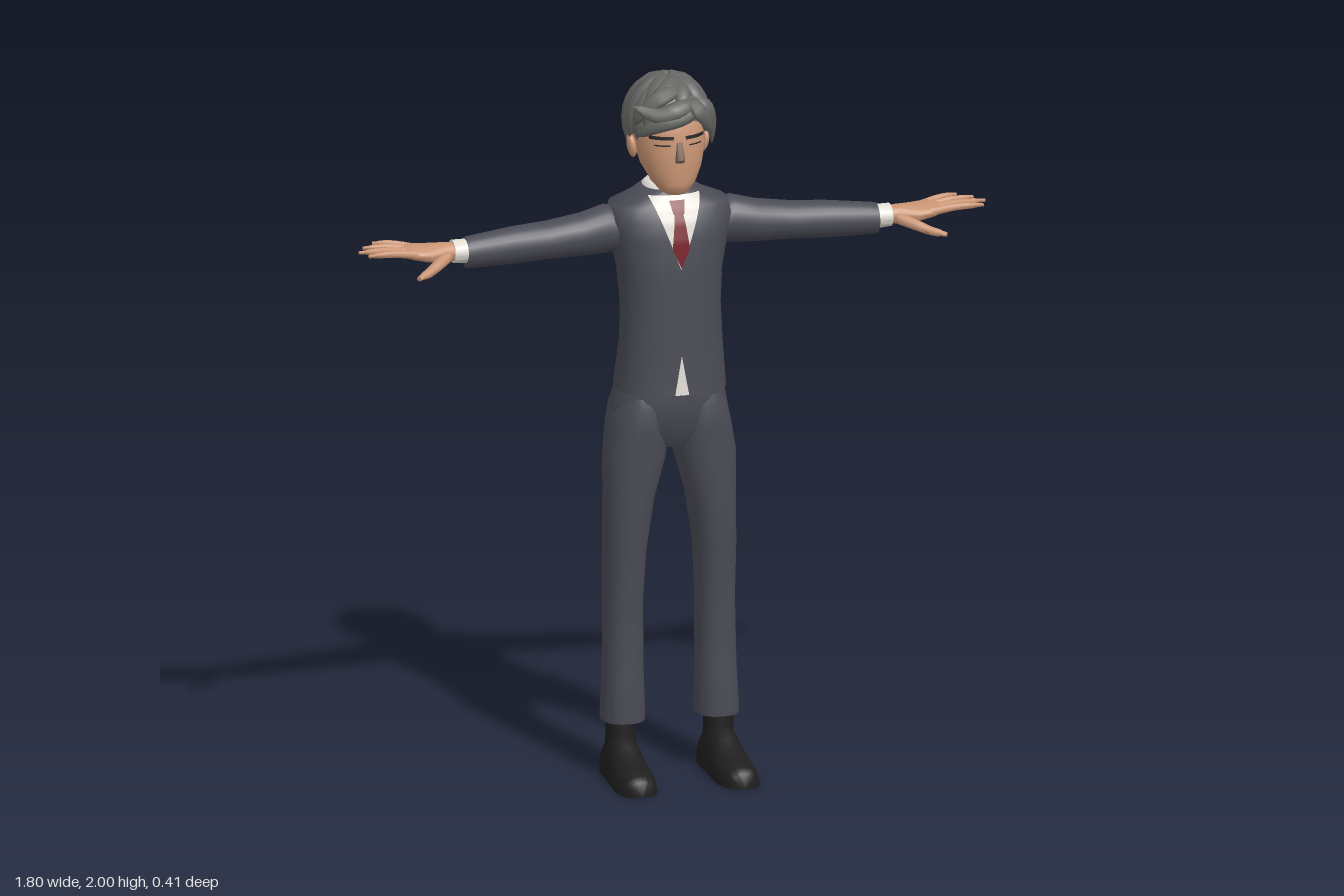
import * as THREE from 'three';
import { toCreasedNormals } from 'three/addons/utils/BufferGeometryUtils.js';

const V = (x, y, z) => new THREE.Vector3(x, y, z);
const paint = (name, color, side = THREE.FrontSide) => {
  const m = new THREE.MeshStandardMaterial({ color, side });
  m.name = name;
  return m;
};

// Closed skin over rings {c: centre, u, v: half axes, p: squareness}; u x v points along the run.
function loft(rings, n = 24, crease = 0.95) {
  const pos = [], idx = [];
  const pw = (t, p) => Math.sign(t) * Math.pow(Math.abs(t), 2 / p);
  for (const { c, u, v, p = 2 } of rings)
    for (let j = 0; j < n; j++) {
      const a = (j / n) * Math.PI * 2;
      const q = c.clone().addScaledVector(u, pw(Math.cos(a), p)).addScaledVector(v, pw(Math.sin(a), p));
      pos.push(q.x, Math.max(q.y, 0), q.z);
    }
  const last = rings.length - 1;
  for (let i = 0; i < last; i++)
    for (let j = 0; j < n; j++) {
      const a = i * n + j, b = i * n + ((j + 1) % n);
      idx.push(a, b, b + n, a, b + n, a + n);
    }
  const s = rings.length * n;
  pos.push(...rings[0].c.toArray(), ...rings[last].c.toArray());
  for (let j = 0; j < n; j++) {
    const k = (j + 1) % n;
    idx.push(s, k, j, s + 1, last * n + j, last * n + k);
  }
  const g = new THREE.BufferGeometry();
  g.setAttribute('position', new THREE.Float32BufferAttribute(pos, 3));
  g.setIndex(idx);
  return toCreasedNormals(g, crease);
}

// Rows: [y, centre x, centre z, half width, half depth]
const upright = (rows, p = 2.3) => loft(rows.map(([y, x, z, a, b]) => ({ c: V(x, y, z), u: V(a, 0, 0), v: V(0, 0, -b), p })));
// Rows: [x, centre y, centre z, half height, half depth]
const sideways = (rows, p = 2) => loft(rows.map(([x, y, z, a, b]) => ({ c: V(x, y, z), u: V(0, a, 0), v: V(0, 0, b), p })));

// Tapering strand along points; "out" gives the thickness direction at a point.
function strand(points, width, thick, profile, out, n = 8) {
  const curve = new THREE.CatmullRomCurve3(points), rings = [], steps = 10;
  for (let i = 0; i <= steps; i++) {
    const t = i / steps, c = curve.getPoint(t), d = curve.getTangent(t), k = profile(t);
    const u = out(c);
    u.addScaledVector(d, -u.dot(d)).normalize();
    const v = d.clone().cross(u);
    rings.push({ c, u: u.multiplyScalar(thick * k), v: v.multiplyScalar(width * k) });
  }
  return loft(rings, n, 1.3);
}

// Thin patch lying on the front of an upright body; outline rows are [y, x from, x to].
function patch(body, outline, lift, p) {
  const lerp = (rows, y) => {
    let i = 0;
    while (i < rows.length - 2 && y > rows[i + 1][0]) i++;
    const t = (y - rows[i][0]) / (rows[i + 1][0] - rows[i][0]);
    return rows[i].map((s, k) => s + (rows[i + 1][k] - s) * t);
  };
  const g = new THREE.PlaneGeometry(1, 1, 10, 24), a = g.attributes.position;
  const y0 = outline[0][0], y1 = outline[outline.length - 1][0];
  for (let i = 0; i < a.count; i++) {
    const y = y0 + (a.getY(i) + 0.5) * (y1 - y0);
    const [, from, to] = lerp(outline, y), x = from + (a.getX(i) + 0.5) * (to - from);
    const [, , cz, hw, hd] = lerp(body, y);
    a.setXYZ(i, x, y, cz + hd * Math.pow(Math.max(0, 1 - Math.pow(Math.abs(x / hw), p)), 1 / p) + lift);
  }
  g.computeVertexNormals();
  return g;
}

function mirrored(geo) {
  const g = geo.index ? geo.toNonIndexed() : geo.clone();
  g.scale(-1, 1, 1);
  for (const a of Object.values(g.attributes))
    for (let i = 0; i < a.count; i += 3)
      for (let k = 0; k < a.itemSize; k++) {
        const s = a.getComponent(i + 1, k);
        a.setComponent(i + 1, k, a.getComponent(i + 2, k));
        a.setComponent(i + 2, k, s);
      }
  return g;
}

export function createModel() {
  const model = new THREE.Group();
  model.name = 'suitedMan';
  const suit = paint('suit cloth', 0x4a4b55), skin = paint('skin', 0xcb9675);
  const hair = paint('hair', 0x666664, THREE.DoubleSide), shoe = paint('shoe leather', 0x1e1e1f);
  const shirt = paint('shirt', 0xe2ded6, THREE.DoubleSide), red = paint('tie', 0x7c2029, THREE.DoubleSide);
  const dark = paint('brow', 0x2b2828, THREE.DoubleSide), noseTone = paint('nose', 0x80655a);

  const add = (name, geo, mat) => {
    const m = new THREE.Mesh(geo, mat);
    m.name = name;
    model.add(m);
  };
  const pair = (name, geo, mat) => {
    add('left' + name, geo, mat);
    add('right' + name, mirrored(geo), mat);
  };

  // Jacket, shirt front and tie
  const torso = [
    [1.11, 0, -0.042, 0.155, 0.122], [1.14, 0, -0.04, 0.152, 0.118], [1.25, 0, -0.03, 0.142, 0.105],
    [1.35, 0, -0.035, 0.138, 0.108], [1.45, 0, -0.045, 0.145, 0.116], [1.55, 0, -0.052, 0.165, 0.117],
    [1.6, 0, -0.056, 0.178, 0.11], [1.638, 0, -0.06, 0.165, 0.096], [1.662, 0, -0.062, 0.105, 0.08],
    [1.682, 0, -0.062, 0.075, 0.068]];
  add('jacket', upright(torso, 2.5), suit);
  add('shirtFront', patch(torso, [[1.47, 0, 0], [1.67, -0.074, 0.074]], 0.004, 2.5), shirt);
  add('shirtTail', patch(torso, [[1.112, -0.02, 0.02], [1.225, 0, 0]], 0.004, 2.5), shirt);
  add('tie', patch(torso, [[1.475, 0, 0], [1.53, -0.025, 0.025], [1.62, -0.013, 0.013],
    [1.628, -0.017, 0.017], [1.658, -0.022, 0.022]], 0.008, 2.5), red);
  add('collar', upright([[1.65, 0, -0.062, 0.076, 0.072], [1.685, 0, -0.064, 0.07, 0.068], [1.694, 0, -0.066, 0.058, 0.06]]), shirt);

  // Trousers
  add('hips', upright([
    [0.945, 0, -0.045, 0.08, 0.06], [0.985, 0, -0.055, 0.165, 0.095], [1.05, 0, -0.058, 0.165, 0.113],
    [1.1, 0, -0.054, 0.155, 0.112], [1.13, 0, -0.045, 0.142, 0.1]], 2.4), suit);
  pair('TrouserLeg', upright([
    [0.16, 0.135, -0.043, 0.06, 0.067], [0.175, 0.135, -0.043, 0.061, 0.068], [0.3, 0.133, -0.046, 0.056, 0.066],
    [0.5, 0.132, -0.052, 0.054, 0.07], [0.65, 0.129, -0.046, 0.058, 0.08], [0.8, 0.117, -0.045, 0.069, 0.087],
    [0.92, 0.1, -0.047, 0.086, 0.093], [1, 0.09, -0.058, 0.084, 0.108], [1.06, 0.085, -0.06, 0.076, 0.112],
    [1.1, 0.08, -0.055, 0.06, 0.095]]), suit);

  // Socks and shoes
  pair('Sock', upright([[0.08, 0.14, -0.043, 0.042, 0.045], [0.18, 0.14, -0.043, 0.04, 0.042]]), shoe);
  pair('Shoe', loft([
    [-0.106, 0.035, 0.06], [-0.095, 0.047, 0.095], [-0.06, 0.052, 0.122], [0, 0.053, 0.122], [0.04, 0.055, 0.1],
    [0.08, 0.058, 0.078], [0.13, 0.058, 0.064], [0.17, 0.05, 0.054], [0.19, 0.036, 0.042], [0.199, 0.016, 0.025],
  ].map(([z, w, h]) => ({ c: V(0.142 + z * 0.03, 0, z), u: V(w, 0, 0), v: V(0, h, 0), p: 2.4 }))), shoe);

  // Sleeves, cuffs and hands
  pair('Sleeve', sideways([
    [0.12, 1.56, -0.06, 0.055, 0.055], [0.18, 1.568, -0.06, 0.068, 0.064], [0.25, 1.557, -0.057, 0.06, 0.059],
    [0.35, 1.55, -0.053, 0.053, 0.057], [0.45, 1.546, -0.045, 0.052, 0.051], [0.575, 1.541, -0.032, 0.045, 0.043],
    [0.59, 1.541, -0.031, 0.043, 0.041]]), suit);
  pair('Cuff', sideways([[0.57, 1.545, -0.03, 0.034, 0.037], [0.628, 1.548, -0.028, 0.032, 0.036]]), shirt);
  pair('Palm', sideways([
    [0.61, 1.548, -0.028, 0.024, 0.029], [0.65, 1.548, -0.028, 0.026, 0.035], [0.7, 1.549, -0.03, 0.023, 0.052],
    [0.745, 1.555, -0.033, 0.018, 0.055], [0.77, 1.558, -0.034, 0.012, 0.05]], 2.3), skin);
  const fingerShape = (t) => (t > 0.85 ? 1.15 - t * 0.75 : 1 - 0.4 * t);
  const up = () => V(0, 1, 0);
  [['IndexFinger', 0.008, 0.882, 0.024], ['MiddleFinger', -0.02, 0.898, -0.017],
    ['RingFinger', -0.047, 0.876, -0.058], ['LittleFinger', -0.072, 0.838, -0.095]].forEach(([name, z0, x1, z1]) =>
    pair(name, strand([V(0.735, 1.556, z0), V((0.735 + x1) / 2, 1.567, (z0 + z1) / 2), V(x1, 1.569, z1)],
      0.0135, 0.0125, fingerShape, up), skin));
  pair('Thumb', strand([V(0.65, 1.541, -0.005), V(0.69, 1.528, 0.035), V(0.72, 1.518, 0.06), V(0.757, 1.513, 0.09)],
    0.02, 0.017, fingerShape, up), skin);

  // Neck, head and face
  add('neck', upright([[1.62, 0, -0.065, 0.056, 0.06], [1.69, 0, -0.06, 0.048, 0.054], [1.78, 0, -0.065, 0.05, 0.055]]), skin);
  const head = [
    [1.676, 0, 0.005, 0.028, 0.034], [1.685, 0, 0.003, 0.042, 0.05], [1.71, 0, -0.008, 0.062, 0.066],
    [1.75, 0, -0.028, 0.083, 0.088], [1.8, 0, -0.046, 0.096, 0.108], [1.85, 0, -0.056, 0.1, 0.113],
    [1.9, 0, -0.06, 0.094, 0.108], [1.95, 0, -0.065, 0.065, 0.075]];
  add('head', upright(head, 2.2), skin);
  const brow = patch(head, [[1.84, 0.018, 0.078], [1.85, 0.016, 0.08]], 0.003, 2.2);
  pair('Brow', brow, dark);
  pair('Eye', patch(head, [[1.822, 0.028, 0.066], [1.826, 0.026, 0.068]], 0.003, 2.2), dark);
  add('nose', upright([[1.775, 0, 0.058, 0.013, 0.01], [1.785, 0, 0.062, 0.013, 0.014], [1.832, 0, 0.054, 0.008, 0.008]], 3), noseTone);
  const ear = new THREE.SphereGeometry(1, 12, 10);
  ear.scale(0.013, 0.034, 0.022).rotateZ(-0.15).translate(0.104, 1.8, -0.058);
  pair('Ear', ear, skin);

  // Hair cap, cut along a hairline that drops towards the nape
  const centre = V(0, 1.85, -0.067);
  const hairline = (phi) => 0.31 - 1.05 * (1 - Math.cos(phi)) / 2;
  const onScalp = (phi, e, s = 1) => V(0.112 * Math.sin(phi) * Math.cos(e), 0.138 * Math.sin(e),
    0.124 * Math.cos(phi) * Math.cos(e)).multiplyScalar(s).add(centre);
  const cap = new THREE.SphereGeometry(1, 28, 12, 0, Math.PI * 2, 0, Math.PI * 0.9), cp = cap.attributes.position;
  for (let i = 0; i < cp.count; i++) {
    const q = V(0, 0, 0).fromBufferAttribute(cp, i), phi = Math.atan2(q.x, q.z);
    const f = Math.acos(THREE.MathUtils.clamp(q.y, -1, 1)) / (Math.PI * 0.9);
    const h = onScalp(phi, Math.PI / 2 - f * (Math.PI / 2 - hairline(phi)));
    cp.setXYZ(i, h.x, h.y, h.z);
  }
  cap.computeVertexNormals();
  add('hairCap', cap, hair);

  // Locks falling from the crown round the sides and back
  const radial = (c) => c.clone().sub(centre);
  const lockShape = (t) => 0.04 + 0.96 * Math.pow(Math.sin(Math.PI * Math.pow(0.08 + 0.92 * t, 0.85)), 0.6);
  const count = 16;
  for (let k = 0; k < count; k++) {
    const phi = THREE.MathUtils.degToRad(48 + (264 * k) / (count - 1));
    const end = hairline(phi) - (k % 2 ? 0.04 : 0.16), pts = [];
    for (let i = 0; i <= 5; i++) pts.push(onScalp(phi + 0.12 * (1 - i / 5), 1.5 + ((end - 1.5) * i) / 5, k % 2 ? 1.02 : 1));
    add('hairLock', strand(pts, 0.029, 0.016, lockShape, radial), hair);
  }

  // Swept fringe
  [
    [[0.06, 1.945, 0.02], [0, 1.928, 0.06], [-0.06, 1.912, 0.05], [-0.125, 1.937, 0.02]],
    [[0.07, 1.93, 0.03], [0.01, 1.908, 0.06], [-0.06, 1.885, 0.052], [-0.108, 1.845, 0.01]],
    [[0.04, 1.97, -0.02], [-0.03, 1.962, 0.025], [-0.085, 1.925, 0.02], [-0.115, 1.87, -0.01]],
    [[0.05, 1.95, 0], [0.08, 1.925, 0.035], [0.1, 1.88, 0.025], [0.108, 1.805, 0.005]],
    [[0.04, 1.945, 0.035], [0.055, 1.92, 0.06], [0.08, 1.885, 0.047], [0.1, 1.845, 0.03]],
    [[0.03, 1.985, -0.08], [0, 1.982, -0.02], [-0.045, 1.96, 0.02], [-0.085, 1.925, 0.035]],
    [[0.02, 1.985, -0.09], [0.045, 1.975, -0.02], [0.065, 1.945, 0.02], [0.085, 1.9, 0.04]],
    [[0.01, 1.985, -0.08], [0.02, 1.975, -0.01], [0.015, 1.95, 0.035], [0, 1.915, 0.06]],
  ].forEach((pts) => add('fringeLock', strand(pts.map((p) => V(...p)), 0.026, 0.015, lockShape, radial), hair));

  return model;
}
